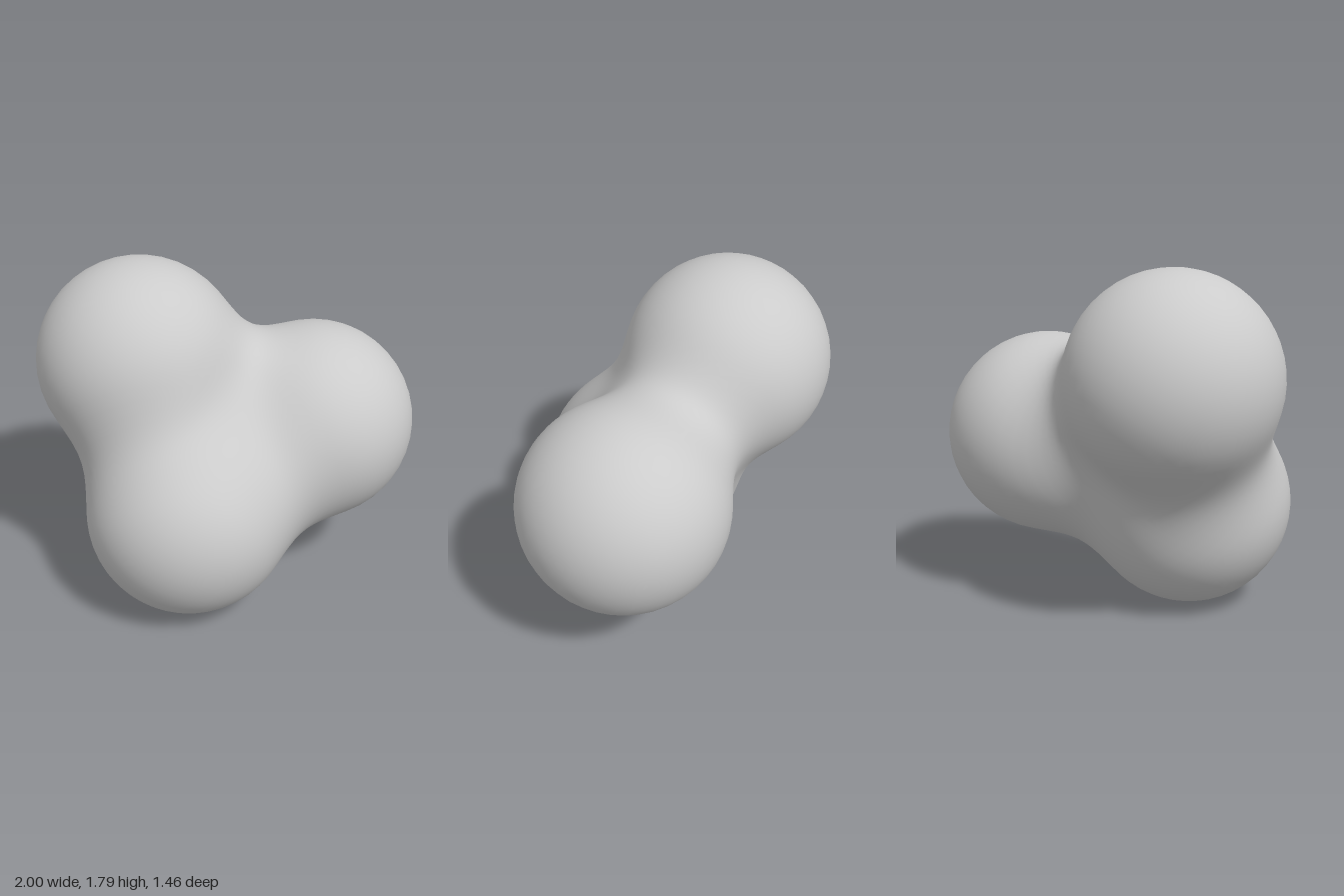
import * as THREE from 'three';
import { mergeVertices } from 'three/addons/utils/BufferGeometryUtils.js';

// Three equal lobes melted together into one smooth body
const RADIUS = 0.54;
const BLEND = 0.33;
const lobes = [
  new THREE.Vector3(-0.46, 1.255, -0.18), // upper
  new THREE.Vector3(0.46, 0.865, -0.19), // side
  new THREE.Vector3(-0.225, 0.54, 0.19), // lower front
];

// Smooth minimum: rounds the necks where lobes meet
function smoothMin(a, b) {
  const h = Math.max(BLEND - Math.abs(a - b), 0) / BLEND;
  return Math.min(a, b) - h * h * BLEND * 0.25;
}

// Signed distance to the blended body
function field(p) {
  return lobes.map((c) => p.distanceTo(c) - RADIUS).reduce(smoothMin);
}

export function createModel() {
  const group = new THREE.Group();
  const core = new THREE.Vector3(-0.07, 0.89, -0.06);

  // An even sphere whose vertices are pushed out along rays to the surface
  let geometry = new THREE.IcosahedronGeometry(1, 15);
  geometry.deleteAttribute('uv');
  geometry.deleteAttribute('normal');
  geometry = mergeVertices(geometry, 1e-4);

  const pos = geometry.attributes.position;
  const dir = new THREE.Vector3();
  const p = new THREE.Vector3();
  const at = (t) => field(p.copy(core).addScaledVector(dir, t));
  for (let i = 0; i < pos.count; i++) {
    dir.fromBufferAttribute(pos, i).normalize();
    // Step outwards to the first crossing, then bisect
    let inner = 0;
    while (inner < 1.5 && at(inner + 0.02) < 0) inner += 0.02;
    let outer = inner + 0.02;
    for (let k = 0; k < 16; k++) {
      const mid = (inner + outer) / 2;
      if (at(mid) < 0) inner = mid;
      else outer = mid;
    }
    p.copy(core).addScaledVector(dir, inner);
    pos.setXYZ(i, p.x, p.y, p.z);
  }
  geometry.computeVertexNormals();

  const body = new THREE.Mesh(geometry, new THREE.MeshStandardMaterial({ color: 0xcccccc }));
  body.name = 'blendedLobes';
  group.add(body);
  return group;
}
